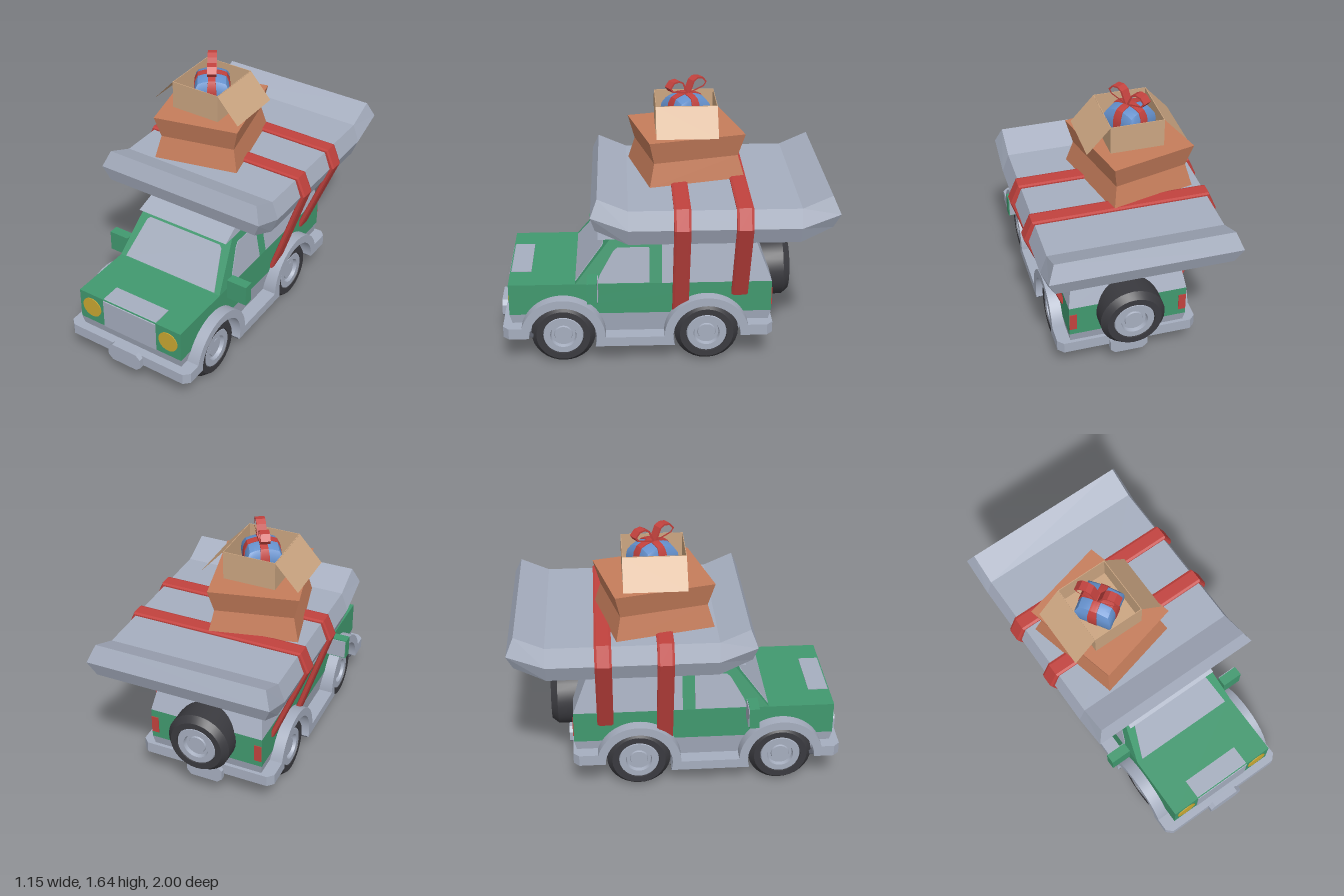
import * as THREE from 'three';
import { toCreasedNormals } from 'three/addons/utils/BufferGeometryUtils.js';

const mat = (name, color, double) => {
  const m = new THREE.MeshStandardMaterial({ color });
  m.name = name;
  if (double) m.side = THREE.DoubleSide;
  return m;
};

const poly = (pts) => new THREE.Shape(pts.map(([x, y]) => new THREE.Vector2(x, y)));
const extrude = (shape, depth) =>
  new THREE.ExtrudeGeometry(shape, { depth, bevelEnabled: false, curveSegments: 20 });

// Side shape (z, y) extruded across x from x0 to x1
const slab = (shape, x0, x1) => extrude(shape, x1 - x0).rotateY(-Math.PI / 2).translate(x1, 0, 0);

// Side profile spanning the whole width, with half width depending on height
function prism(pts, halfWidth) {
  const g = slab(poly(pts), -1, 1), p = g.attributes.position;
  for (let i = 0; i < p.count; i++) p.setX(i, Math.sign(p.getX(i)) * halfWidth(p.getY(i)));
  g.computeVertexNormals();
  return g;
}

// Mattress: six-sided sections from front to back
function mattressGeometry() {
  // top z, y; middle z, y; bottom z, y
  const stations = [
    [0.385, 1.15, 0.425, 1.05, 0.4, 0.955],
    [0.21, 1.073, 0.21, 0.965, 0.21, 0.862],
    [-0.785, 1.073, -0.785, 0.965, -0.785, 0.862],
    [-0.955, 1.15, -1.0, 1.05, -0.965, 0.955],
  ];
  const rings = stations.map(([zt, yt, zm, ym, zb, yb]) => [
    [-0.51, yt, zt], [0.51, yt, zt], [0.55, ym, zm],
    [0.51, yb, zb], [-0.51, yb, zb], [-0.55, ym, zm],
  ]);
  const v = [];
  const quad = (a, b, c, d) => v.push(...a, ...b, ...c, ...a, ...c, ...d);
  for (let i = 0; i < 3; i++)
    for (let j = 0; j < 6; j++) {
      const k = (j + 1) % 6;
      quad(rings[i][j], rings[i][k], rings[i + 1][k], rings[i + 1][j]);
    }
  const [f, b] = [rings[0], rings[3]];
  quad(f[0], f[5], f[2], f[1]);
  quad(f[5], f[4], f[3], f[2]);
  quad(b[1], b[2], b[5], b[0]);
  quad(b[2], b[3], b[4], b[5]);
  const g = new THREE.BufferGeometry();
  g.setAttribute('position', new THREE.Float32BufferAttribute(v, 3));
  g.computeVertexNormals();
  return g;
}

export function createModel() {
  const root = new THREE.Group();
  const grey = mat('grey', 0xa6aebf), green = mat('green', 0x41996f), dark = mat('tyre black', 0x3a3a3f);
  const floorDark = mat('underside grey', 0x555963), gold = mat('gold', 0xcaa832), red = mat('red', 0xc2423e);
  const brown = mat('cardboard orange', 0xc67d5b), tan = mat('cardboard tan', 0xcba581, true);
  const blue = mat('blue', 0x6490cc);

  const add = (name, geo, material, x = 0, y = 0, z = 0, parent = root) => {
    const m = new THREE.Mesh(geo, material);
    m.name = name;
    m.position.set(x, y, z);
    parent.add(m);
    return m;
  };
  const box = (name, w, h, d, material, x, y, z, parent) =>
    add(name, new THREE.BoxGeometry(w, h, d), material, x, y, z, parent);

  // Body shells
  const cabWidth = (y) => 0.36 - Math.max(0, y - 0.53) * 0.18;
  add('bodyAndCab', prism([[0.93, 0.33], [0.93, 0.53], [0.53, 0.53], [0.32, 0.8], [0.01, 0.8],
    [0.01, 0.53], [-0.65, 0.53], [-0.65, 0.33]], cabWidth), green);
  add('roofAndCanopy', prism([[0.01, 0.53], [0.01, 0.8], [0.39, 0.8], [0.25, 0.86],
    [-0.52, 0.86], [-0.65, 0.53]], cabWidth), grey);
  add('lowerBody', prism([[0.93, 0.33], [0.9, 0.2], [-0.62, 0.2], [-0.65, 0.33]],
    (y) => 0.36 - (0.33 - y) * 0.15), grey);
  box('chassis', 0.54, 0.08, 1.23, grey, 0, 0.18, 0.175);

  // Underside
  box('underside', 0.54, 0.008, 1.22, floorDark, 0, 0.138, 0.175);
  box('undersideMiddle', 0.84, 0.008, 0.48, floorDark, 0, 0.138, 0.175);
  box('undersideFront', 0.8, 0.008, 0.16, floorDark, 0, 0.198, 0.87);
  box('undersideRear', 0.8, 0.008, 0.17, floorDark, 0, 0.198, -0.55);

  // Windows
  add('sideWindows', prism([[0.4, 0.535], [0.38, 0.59], [0.3, 0.73], [0.275, 0.752], [0.085, 0.752], [0.085, 0.535]],
    (y) => cabWidth(y) + 0.004), grey);
  add('windscreen', extrude(poly([[-0.322, 0.005], [0.322, 0.005], [0.268, 0.262], [0.25, 0.28],
    [-0.25, 0.28], [-0.268, 0.262]]), 0.004), grey, 0, 0.53, 0.53).rotation.x = -0.661;

  // Grille wraps from the bonnet to the nose
  add('grille', slab(poly([[0.8, 0.5], [0.8, 0.534], [0.92, 0.534], [0.934, 0.52], [0.934, 0.33], [0.9, 0.33]]),
    -0.187, 0.187), grey);

  // Bumpers and blank plates, rear ones turned round
  const bumper = extrude(poly([[-0.43, -0.82], [0.43, -0.82], [0.43, -0.935], [0.395, -0.97],
    [-0.395, -0.97], [-0.43, -0.935]]), 0.07).rotateX(-Math.PI / 2);
  const plate = extrude(poly([[-0.115, -0.03], [-0.085, -0.057], [0.085, -0.057], [0.115, -0.03],
    [0.115, 0.03], [0.085, 0.057], [-0.085, 0.057], [-0.115, 0.03]]), 0.034);
  add('frontBumper', bumper, grey, 0, 0.2, 0);
  add('rearBumper', bumper, grey, 0, 0.2, 0.312).rotation.y = Math.PI;
  add('frontPlate', plate, grey, 0, 0.228, 0.966);
  add('rearPlate', plate, grey, 0, 0.203, -0.651).rotation.y = Math.PI;

  // Arches and sill as one side trim
  const trim = new THREE.Shape();
  trim.moveTo(0.92, 0.2);
  trim.lineTo(0.92, 0.27);
  trim.absarc(0.61, 0.2, 0.257, 0.27, Math.PI, false);
  trim.absarc(-0.26, 0.2, 0.257, 0, Math.PI - 0.27, false);
  trim.lineTo(-0.6, 0.27);
  trim.lineTo(-0.6, 0.2);
  trim.absarc(-0.26, 0.2, 0.204, Math.PI, -0.3, true);
  trim.absarc(0.61, 0.2, 0.204, Math.PI + 0.3, 0, true);
  const trimGeo = (x0, x1) => toCreasedNormals(slab(trim, x0, x1), 0.6);
  add('leftArchesAndSill', trimGeo(0.33, 0.43), grey);
  add('rightArchesAndSill', trimGeo(-0.43, -0.33), grey);

  // Wheels, axis along y with the outer face up
  const lathe = (pts) => toCreasedNormals(
    new THREE.LatheGeometry(pts.map(([r, h]) => new THREE.Vector2(r, h)), 32), 0.5);
  const tyreGeo = lathe([[0, -0.115], [0.16, -0.115], [0.195, -0.075], [0.195, 0.075], [0.163, 0.115],
    [0.125, 0.115], [0.12, 0.09]]);
  const rimGeo = lathe([[0.126, 0.095], [0.118, 0.113], [0.08, 0.113], [0.074, 0.09], [0.056, 0.09],
    [0.052, 0.1], [0, 0.1]]);
  const wheel = (name, x, y, z) => {
    const g = new THREE.Group();
    g.name = name;
    g.position.set(x, y, z);
    add('tyre', tyreGeo, dark, 0, 0, 0, g);
    add('rim', rimGeo, grey, 0, 0, 0, g);
    root.add(g);
    return g;
  };
  for (const [end, z] of [['front', 0.61], ['rear', -0.26]])
    for (const s of [1, -1]) wheel(end + (s > 0 ? 'Left' : 'Right') + 'Wheel', s * 0.28, 0.198, z).rotation.z = -s * Math.PI / 2;
  wheel('spareWheel', 0, 0.467, -0.67).rotation.x = -Math.PI / 2;

  // Paired lamps and mirrors
  const lamp = new THREE.CylinderGeometry(0.065, 0.065, 0.008, 28).rotateX(Math.PI / 2);
  for (const s of [1, -1]) {
    add('headlight', lamp, gold, s * 0.273, 0.435, 0.931);
    box('tailLight', 0.045, 0.11, 0.008, red, s * 0.336, 0.425, -0.651);
    box('mirror', 0.13, 0.132, 0.06, green, s * 0.43, 0.534, 0.427);
    box('mirrorGlass', 0.118, 0.12, 0.006, grey, s * 0.43, 0.534, 0.395);
  }

  // Mattress on the roof
  add('mattress', mattressGeometry(), grey);

  // Straps over the mattress and down to the body
  for (const [name, z, x, y] of [['frontStrap', -0.1, 0.35, 0.28], ['rearStrap', -0.457, 0.365, 0.45]]) {
    const half = [[x, y], [0.568, 0.97], [0.52, 1.082]];
    const inner = [[0.502, 1.066], [0.548, 0.97], [x - 0.022, y]];
    const flip = (pts) => pts.map(([a, b]) => [-a, b]).reverse();
    const g = new THREE.ExtrudeGeometry(poly([...half, ...flip(half), ...flip(inner), ...inner]),
      { depth: 0.07, bevelThickness: 0.014, bevelSize: 0.006, bevelSegments: 1 });
    add(name, g, red, 0, 0, z - 0.035);
  }

  // Large carton with a squeezed waist
  const carton = new THREE.BoxGeometry(0.52, 0.28, 0.593, 1, 2, 1).toNonIndexed();
  const cp = carton.attributes.position;
  for (let i = 0; i < cp.count; i++)
    if (Math.abs(cp.getY(i)) < 0.01) cp.setXYZ(i, cp.getX(i) * 0.88, 0, cp.getZ(i) * 0.88);
  carton.computeVertexNormals();
  add('largeCarton', carton, brown, -0.139, 1.21, -0.151).rotation.y = 0.237;

  // Small open carton with two drooping flaps
  const open = new THREE.Group();
  open.name = 'smallCarton';
  open.position.set(-0.137, 1.352, -0.148);
  root.add(open);
  box('cartonFloor', 0.316, 0.008, 0.366, tan, 0, 0.004, 0, open);
  for (const s of [1, -1]) {
    box('cartonSide', 0.004, 0.172, 0.366, tan, s * 0.157, 0.086, 0, open);
    box('cartonEnd', 0.316, 0.172, 0.004, tan, 0, 0.086, s * 0.181, open);
    const flap = new THREE.PlaneGeometry(0.209, 0.366).rotateX(-Math.PI / 2).translate(s * 0.1045, 0, 0);
    add('cartonFlap', flap, tan, s * 0.158, 0.171, 0, open).rotation.z = -s * 0.84;
  }

  // Cushion-shaped gift with ribbons and a bow
  const gift = new THREE.Group();
  gift.name = 'gift';
  gift.position.set(-0.14, 1.36, -0.152);
  gift.rotation.y = -1.01;
  root.add(gift);
  const cushion = (w, h, d) => {
    const g = new THREE.BoxGeometry(w, h, d, 6, 5, 6).translate(0, h / 2, 0), p = g.attributes.position;
    for (let i = 0; i < p.count; i++) {
      const x = p.getX(i), y = p.getY(i), z = p.getZ(i), t = y / h;
      const f = 1 - 0.2 * Math.pow(Math.abs(2 * t - 1), 3);
      p.setXYZ(i, x * f, y - 1.6 * t * (x * x + z * z), z * f);
    }
    return toCreasedNormals(g, 0.6);
  };
  add('giftBody', cushion(0.225, 0.195, 0.21), blue, 0, 0, 0, gift);
  add('ribbonLong', cushion(0.233, 0.2, 0.055), red, 0, 0, 0, gift);
  add('ribbonCross', cushion(0.055, 0.2, 0.218), red, 0, 0, 0, gift);
  const loop = poly([[0, 0], [0.035, 0.075], [0.065, 0.092], [0.105, 0.088], [0.135, 0.055], [0.115, 0.028]]);
  loop.holes.push(new THREE.Path([[0.02, 0.014], [0.045, 0.07], [0.067, 0.082], [0.101, 0.078], [0.122, 0.053], [0.108, 0.036]]
    .map(([x, y]) => new THREE.Vector2(x, y))));
  const loopGeo = extrude(loop, 0.055).translate(0, 0, -0.0275);
  for (const s of [0, 1]) add('bowLoop', loopGeo, red, 0, 0.193, 0, gift).rotation.y = s * Math.PI;

  return root;
}
